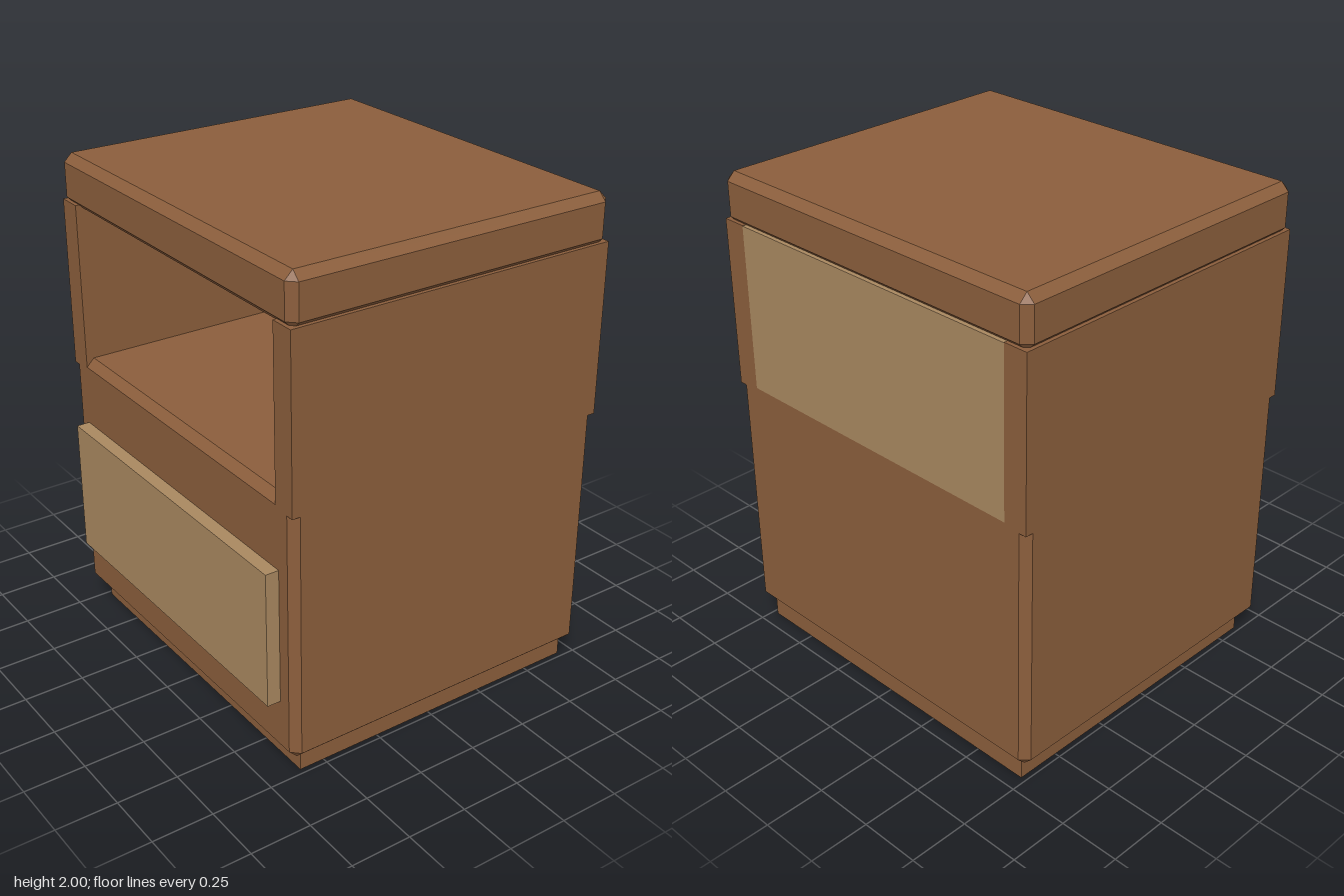
import * as THREE from 'three';
import { ConvexGeometry } from 'three/addons/geometries/ConvexGeometry.js';

// Box with every edge chamfered by b, as the hull of its 24 corner points
function chamferBox(w, h, d, b) {
  const pts = [];
  for (const x of [-1, 1]) for (const y of [-1, 1]) for (const z of [-1, 1]) {
    for (let keep = 0; keep < 3; keep++) {
      pts.push(new THREE.Vector3(
        x * (w / 2 - (keep === 0 ? 0 : b)),
        y * (h / 2 - (keep === 1 ? 0 : b)),
        z * (d / 2 - (keep === 2 ? 0 : b))
      ));
    }
  }
  return new ConvexGeometry(pts);
}

export function createModel() {
  const group = new THREE.Group();
  group.name = 'nightstand';

  const wood = new THREE.MeshStandardMaterial({ color: 0x8b5e3c });
  wood.name = 'brown wood';
  const panel = new THREE.MeshStandardMaterial({ color: 0xa98860 });
  panel.name = 'tan wood';

  // Places a box between min and max extents, chamfered if asked
  function part(name, material, [x0, x1], [y0, y1], [z0, z1], chamfer = 0) {
    const size = [x1 - x0, y1 - y0, z1 - z0];
    const geometry = chamfer ? chamferBox(...size, chamfer) : new THREE.BoxGeometry(...size);
    const mesh = new THREE.Mesh(geometry, material);
    mesh.name = name;
    mesh.position.set((x0 + x1) / 2, (y0 + y1) / 2, (z0 + z1) / 2);
    group.add(mesh);
  }

  const width = [-0.782, 0.782];
  const depth = [-0.723, 0.668];
  const chamfer = 0.033;

  // Recessed plinth, lower cabinet and top slab
  part('plinth', wood, [-0.728, 0.728], [0, 0.12], [-0.685, 0.605]);
  part('lowerCabinet', wood, width, [0.09, 1.163], depth, chamfer);
  part('topSlab', wood, width, [1.795, 2], depth, chamfer);

  // Side walls of the open compartment
  part('leftWall', wood, [0.68, 0.782], [1.118, 1.812], depth);
  part('rightWall', wood, [-0.782, -0.68], [1.118, 1.812], depth);

  // Compartment back and drawer front
  part('backPanel', panel, [-0.68, 0.68], [1.125, 1.81], [-0.723, -0.69]);
  part('drawerFront', panel, [-0.697, 0.695], [0.318, 0.875], [0.64, 0.723]);

  return group;
}
